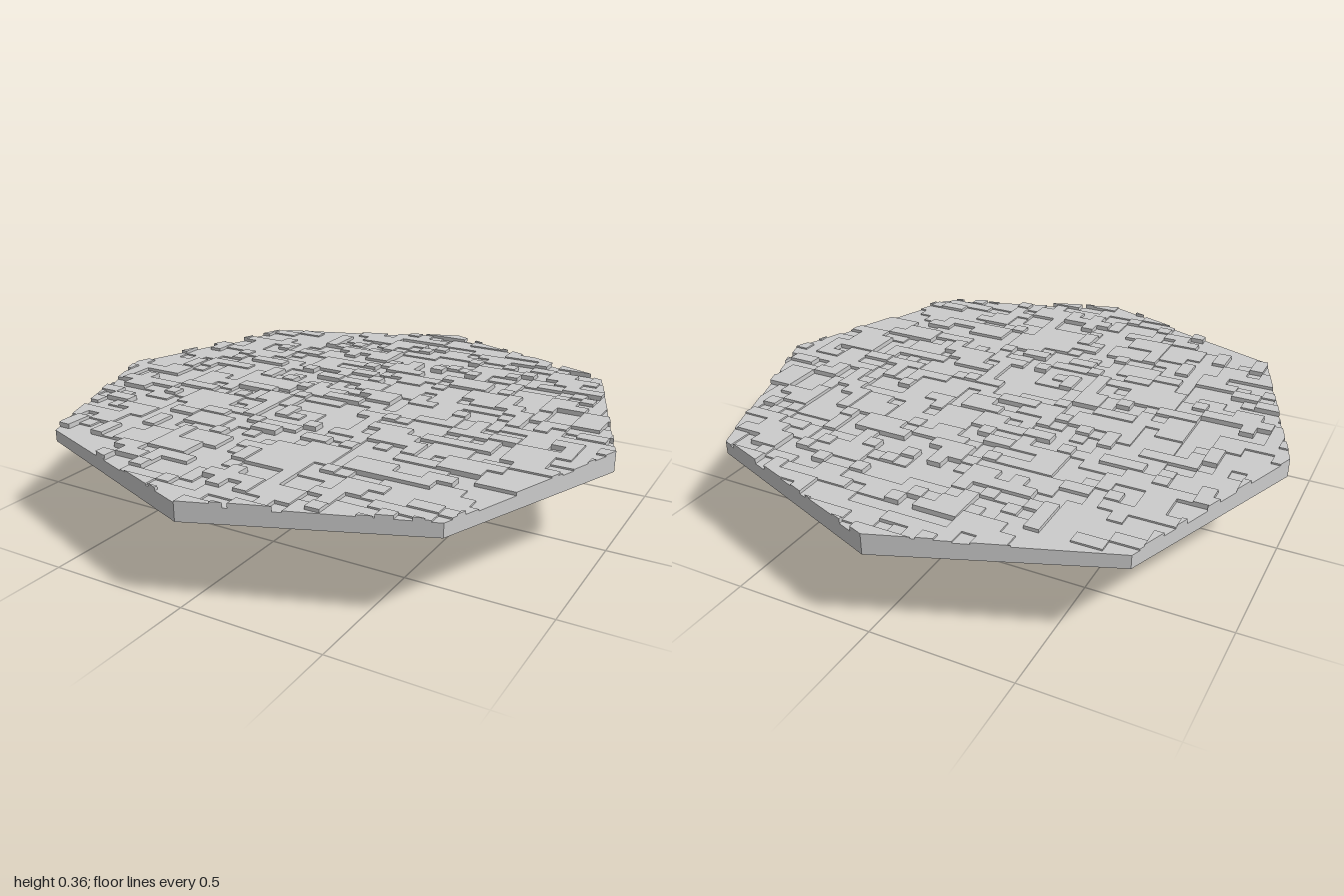
import * as THREE from 'three';

const BASE = 0.343, STEP = 0.0057, N = 40, CELL = 2 / N;

// Octagon as [x, z] corners, anticlockwise seen from above
const octagon = (axis, diag) => Array.from({ length: 8 }, (_, i) => {
  const a = i * Math.PI / 4, r = i % 2 ? diag * Math.SQRT2 : axis;
  return [r * Math.sin(a), r * Math.cos(a)];
});
const OUTLINE = octagon(1, 0.732);

// Positive when the point lies inside edge p -> q
const side = (p, q, [x, z]) => (q[1] - p[1]) * (x - p[0]) - (q[0] - p[0]) * (z - p[1]);
const inside = (pt) => OUTLINE.every((p, i) => side(p, OUTLINE[(i + 1) % 8], pt) > 0);

// Cuts a convex polygon to the octagon
function clip(poly) {
  OUTLINE.forEach((p, i) => {
    const q = OUTLINE[(i + 1) % 8], out = [];
    poly.forEach((a, j) => {
      const b = poly[(j + 1) % poly.length], sa = side(p, q, a), sb = side(p, q, b);
      if (sa >= 0) out.push(a);
      if (sa * sb < 0) {
        const t = sa / (sa - sb);
        out.push([a[0] + (b[0] - a[0]) * t, a[1] + (b[1] - a[1]) * t]);
      }
    });
    poly = out;
  });
  return poly;
}

function flatMesh(name, pos) {
  const geo = new THREE.BufferGeometry();
  geo.setAttribute('position', new THREE.Float32BufferAttribute(pos, 3));
  geo.computeVertexNormals();
  const mesh = new THREE.Mesh(geo, new THREE.MeshStandardMaterial({ color: 0xcccccc, flatShading: true }));
  mesh.name = name;
  return mesh;
}

// Faceted bowl: small foot, sloping flanks and upright rim
function makeHull() {
  const ring = (outline, yAxis, yDiag) => outline.map(([x, z], i) => [x, i % 2 ? yDiag : yAxis, z]);
  const rings = [
    ring(octagon(0.32, 0.24), 0, 0.005),
    ring(OUTLINE, 0.287, 0.302),
    ring(OUTLINE, BASE, BASE),
  ];
  const pos = [];
  for (let i = 0; i < 8; i++) {
    const j = (i + 1) % 8;
    pos.push(0, 0, 0, ...rings[0][j], ...rings[0][i]);
    for (let k = 0; k < 2; k++) {
      const lo = rings[k], hi = rings[k + 1];
      pos.push(...lo[i], ...lo[j], ...hi[j], ...lo[i], ...hi[j], ...hi[i]);
    }
  }
  return flatMesh('hull', pos);
}

// Deck of low stepped plates, trimmed to the rim
function makeDeck() {
  let seed = 7;
  const rand = () => (seed = (seed * 16807) % 2147483647) / 2147483647;
  const levels = new Array(N * N).fill(1);
  for (let n = 0; n < 1500; n++) {
    const x = Math.floor(rand() * N), z = Math.floor(rand() * N);
    const w = 1 + Math.floor(rand() * 3), d = 1 + Math.floor(rand() * 2);
    const level = Math.floor(rand() * 4);
    for (let i = x; i < Math.min(N, x + w); i++)
      for (let k = z; k < Math.min(N, z + d); k++) levels[k * N + i] = level;
  }
  const height = ([x, z]) => inside([x, z])
    ? BASE + STEP * levels[Math.floor((z + 1) / CELL) * N + Math.floor((x + 1) / CELL)]
    : BASE;

  const pos = [];
  for (let k = 0; k < N; k++) for (let i = 0; i < N; i++) {
    const x0 = -1 + i * CELL, x1 = x0 + CELL, z0 = -1 + k * CELL, z1 = z0 + CELL;
    const poly = clip([[x0, z1], [x1, z1], [x1, z0], [x0, z0]]);
    const h = BASE + STEP * levels[k * N + i];
    const at = ([x, z], y) => [x, y, z];
    poly.forEach((a, j) => {
      const b = poly[(j + 1) % poly.length];
      // top surface
      if (j > 0 && j < poly.length - 1) pos.push(...at(poly[0], h), ...at(a, h), ...at(b, h));
      // riser down to a lower neighbour or to the rim
      const dx = b[0] - a[0], dz = b[1] - a[1], len = Math.hypot(dx, dz);
      if (len < 1e-5) return;
      const low = height([(a[0] + b[0]) / 2 - dz / len * 1e-4, (a[1] + b[1]) / 2 + dx / len * 1e-4]);
      if (low < h - 1e-6)
        pos.push(...at(a, low), ...at(b, low), ...at(b, h), ...at(a, low), ...at(b, h), ...at(a, h));
    });
  }
  return flatMesh('steppedDeck', pos);
}

export function createModel() {
  const model = new THREE.Group();
  model.name = 'octagonalPlatform';
  model.add(makeHull(), makeDeck());
  return model;
}
